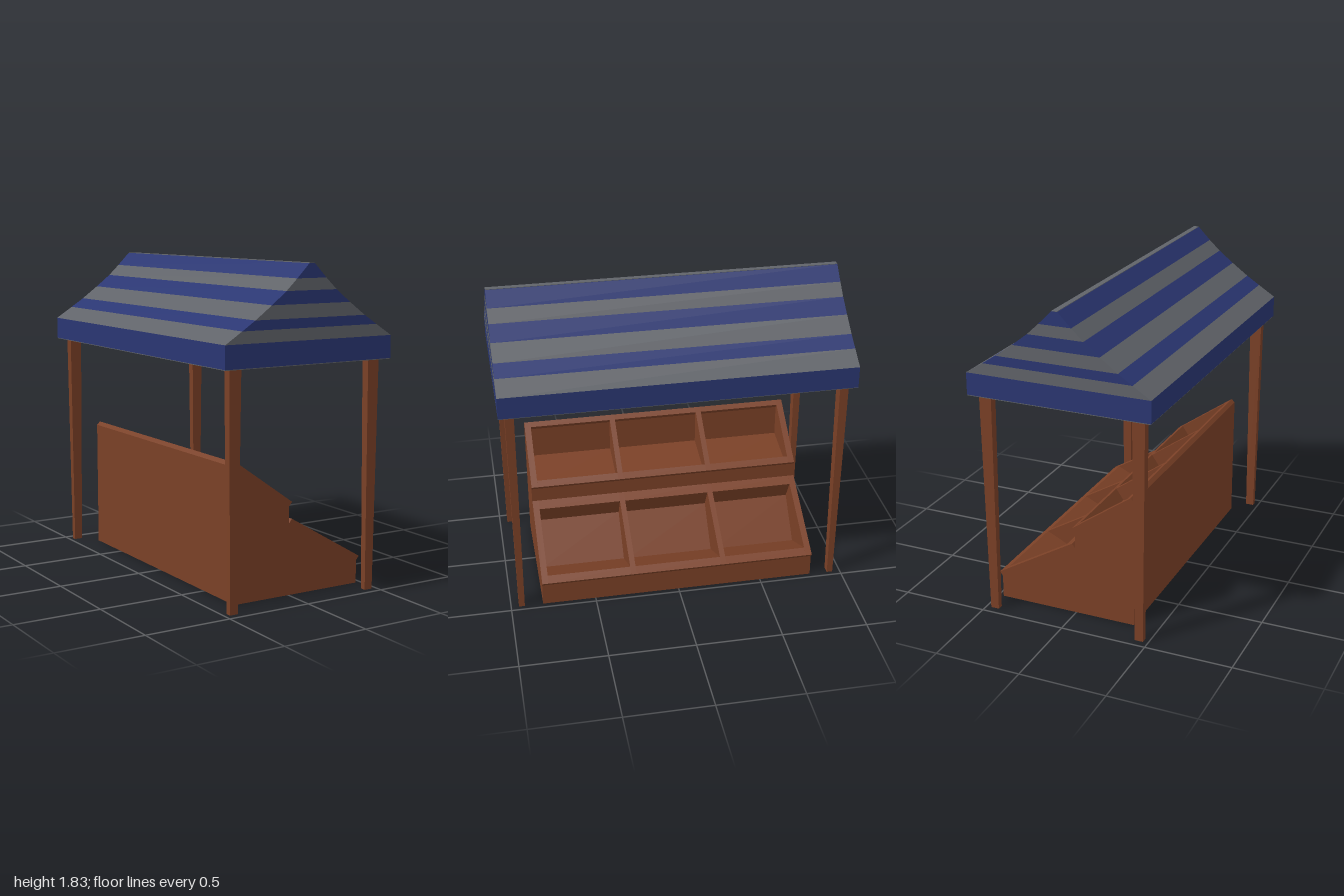
import * as THREE from 'three';

const mat = (color) => new THREE.MeshStandardMaterial({ color, flatShading: true });

// Extrudes an x-y outline between two z positions.
function slab(points, z0, z1, material, name) {
  const shape = new THREE.Shape(points.map(([x, y]) => new THREE.Vector2(x, y)));
  const geo = new THREE.ExtrudeGeometry(shape, { depth: z1 - z0, bevelEnabled: false });
  geo.translate(0, 0, z0);
  const mesh = new THREE.Mesh(geo, material);
  mesh.name = name;
  return mesh;
}

export function createModel() {
  const model = new THREE.Group();
  model.name = 'marketStall';
  const wood = mat(0x7a4026);
  const blue = mat(0x2a3672);
  const grey = mat(0x606369);

  // Roof: stacked stripes, [half width, height] from eave to ridge
  const roof = new THREE.Group();
  roof.name = 'roof';
  const levels = [
    [0.532, 1.304], [0.532, 1.43], [0.43, 1.495], [0.35, 1.547],
    [0.25, 1.62], [0.16, 1.69], [0.093, 1.753], [0.018, 1.829],
  ];
  for (let i = 0; i < levels.length - 1; i++) {
    const [w0, y0] = levels[i];
    const [w1, y1] = levels[i + 1];
    const outline = [[-w0, y0], [w0, y0], [w1, y1], [-w1, y1]];
    roof.add(slab(outline, -1, 1, i % 2 ? grey : blue, i ? 'roofStripe' : 'valance'));
  }

  // Grey underside and ridge cap
  const sheet = (w, y0, y1, name) =>
    slab([[-w, y0], [w, y0], [w, y1], [-w, y1]], -1, 1, grey, name);
  roof.add(sheet(0.53, 1.3, 1.304, 'roofUnderside'), sheet(0.016, 1.829, 1.832, 'ridgeCap'));
  model.add(roof);

  // Posts, slightly thinner at the foot
  for (const sx of [-1, 1]) {
    for (const sz of [-1, 1]) {
      const geo = new THREE.BoxGeometry(0.072, 1.3, 0.05);
      const p = geo.attributes.position;
      for (let i = 0; i < p.count; i++) {
        if (p.getY(i) < 0) p.setXYZ(i, p.getX(i) * 0.68, p.getY(i), p.getZ(i) * 0.68);
      }
      geo.computeVertexNormals();
      const post = new THREE.Mesh(geo, wood);
      post.name = 'post';
      post.position.set(sx * 0.446, 0.65, sz * 0.937);
      model.add(post);
    }
  }

  // Stepped counter: solid dividers alternate with hollowed bin sections
  const counter = new THREE.Group();
  counter.name = 'counter';
  const upperBin = [[-0.015, 0.55], [-0.06, 0.485], [-0.325, 0.54], [-0.325, 0.73], [-0.306, 0.755]];
  const lowerBin = [[0.443, 0.18], [0.19, 0.06], [0, 0.275], [0.07, 0.4]];
  const profile = (hollow) => [
    [-0.355, 0], [0.468, 0], [0.468, 0.132], [0.487, 0.155],
    ...(hollow ? lowerBin : []),
    [0.02, 0.43], [0, 0.405], [0, 0.502], [0.02, 0.525],
    ...(hollow ? upperBin : []),
    [-0.335, 0.775], [-0.355, 0.755],
  ];
  const cuts = [-0.812, -0.775, -0.287, -0.255, 0.255, 0.287, 0.775, 0.812];
  for (let i = 0; i < cuts.length - 1; i++) {
    const hollow = i % 2 === 1;
    counter.add(slab(profile(hollow), cuts[i], cuts[i + 1], wood, hollow ? 'binSection' : 'divider'));
  }
  model.add(counter);

  return model;
}
